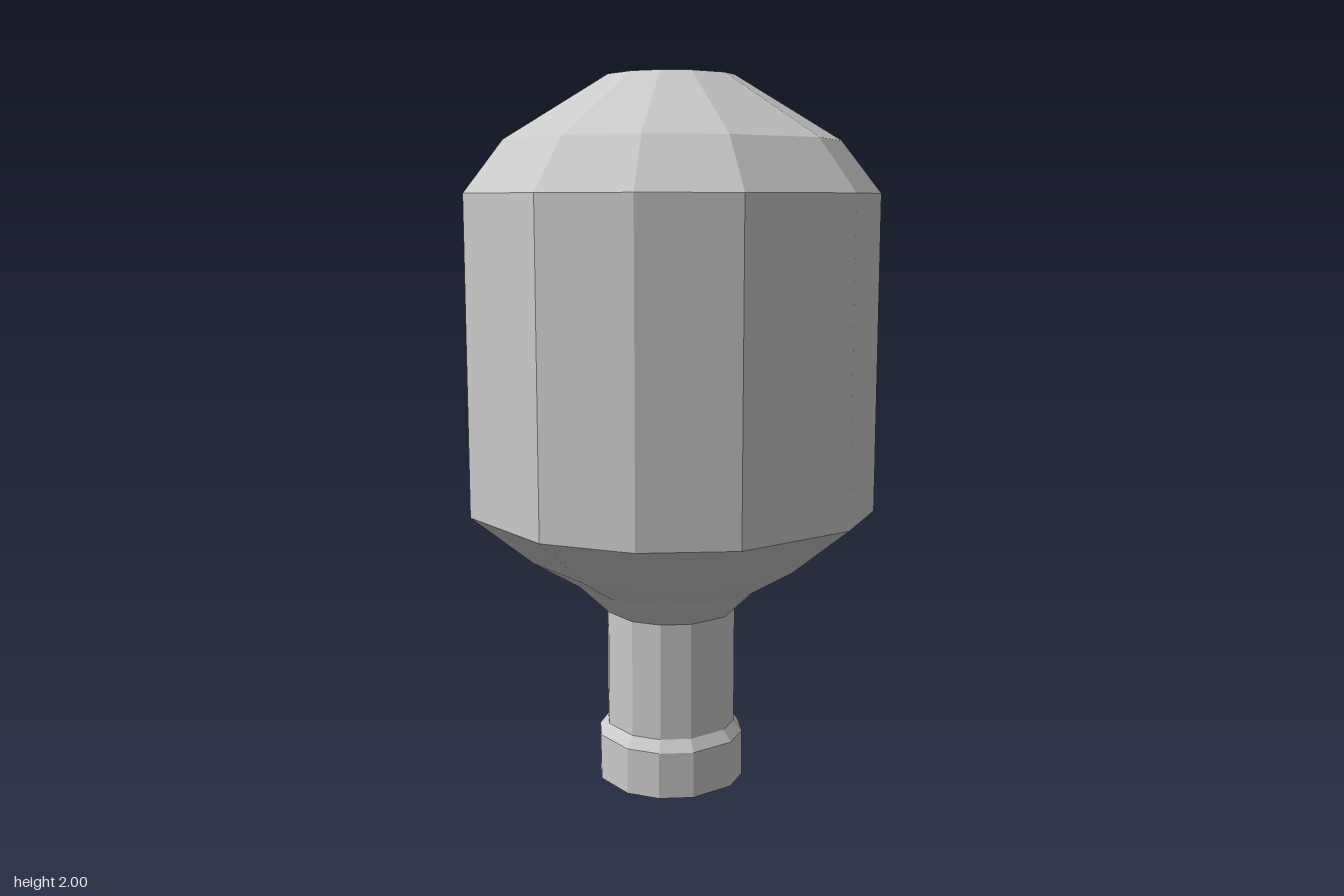
import * as THREE from 'three';

// Twelve-sided section: wide flats on the four axes, corners on the diagonals.
const CORNERS = [[0.333, 1], [0.745, 0.745], [1, 0.333]];
const SECTION = [];
for (let q = 0; q < 4; q++) {
  for (const [x, z] of CORNERS) {
    // quarter turns about y
    SECTION.push([[x, z], [z, -x], [-x, -z], [-z, x]][q]);
  }
}

const material = new THREE.MeshStandardMaterial({ color: 0xcccccc, flatShading: true });

// Sweeps a [half-width, height] profile (bottom to top) around the section.
function ring(name, profile) {
  const points = profile.map(([r, y]) => new THREE.Vector2(r, y));
  const lathe = new THREE.LatheGeometry(points, SECTION.length);
  const pos = lathe.attributes.position;
  for (let i = 0; i < pos.count; i++) {
    const [sx, sz] = SECTION[Math.floor(i / points.length) % SECTION.length];
    const [r, y] = profile[i % points.length];
    pos.setXYZ(i, sx * r, y, sz * r);
  }
  const geometry = lathe.toNonIndexed();
  geometry.computeVertexNormals();
  const mesh = new THREE.Mesh(geometry, material);
  mesh.name = name;
  return mesh;
}

export function createModel() {
  const group = new THREE.Group();
  group.name = 'bulb';
  group.add(
    // Closed foot with a bevelled top edge
    ring('baseCollar', [[0, 0], [0.2, 0], [0.2, 0.133], [0.177, 0.165]]),
    ring('neck', [[0.177, 0.165], [0.177, 0.5]]),
    // Flare from the neck out to the body
    ring('shoulder', [[0.177, 0.5], [0.256, 0.58], [0.382, 0.66], [0.548, 0.803]]),
    ring('body', [[0.548, 0.803], [0.548, 1.682]]),
    // Faceted dome with a flat top
    ring('dome', [[0.548, 1.682], [0.444, 1.823], [0.168, 2], [0, 2]])
  );
  return group;
}
